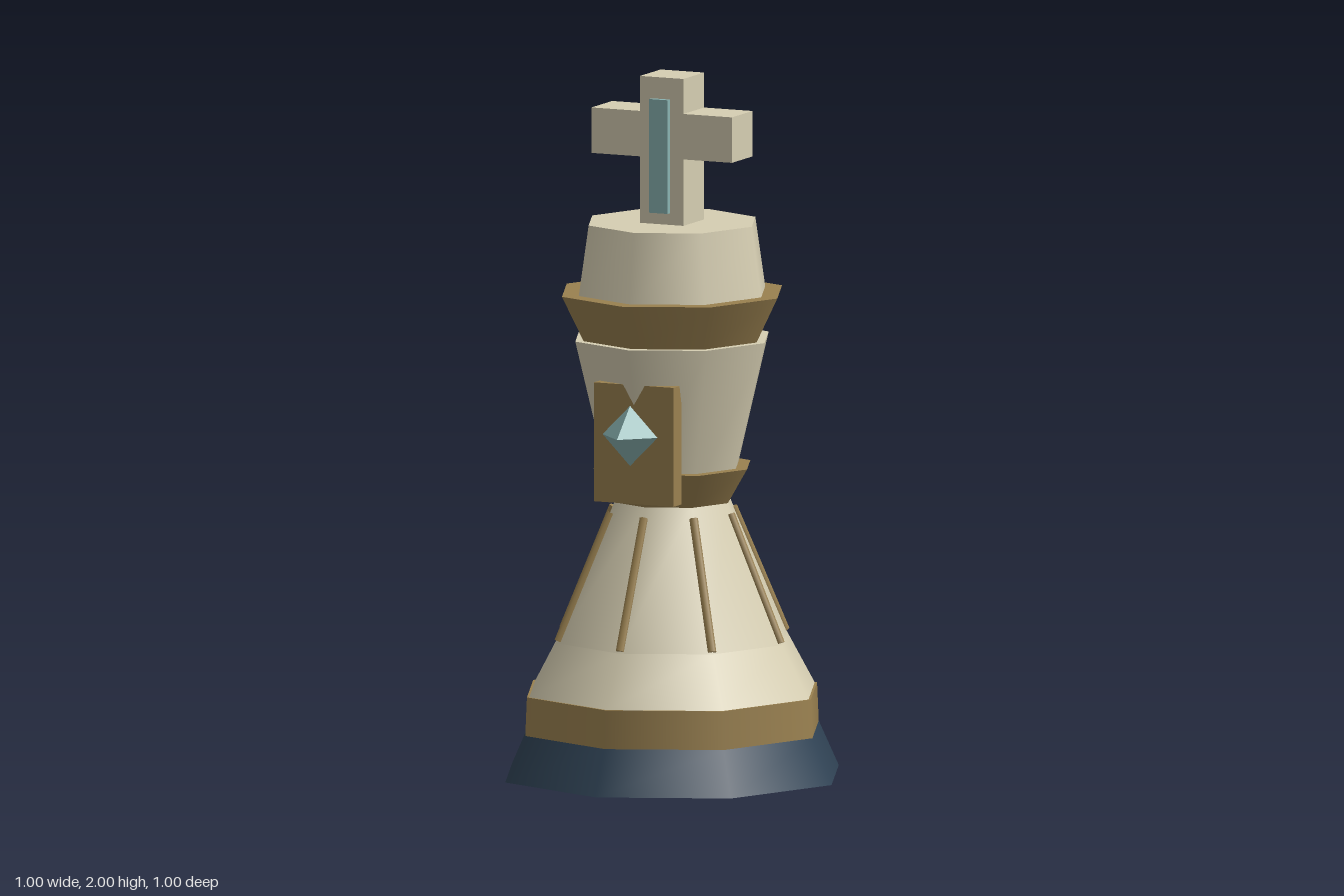
import * as THREE from 'three';

const SIDES = 8;

export function createModel() {
  const group = new THREE.Group();
  const mat = (name, color, flatShading = false) => {
    const m = new THREE.MeshStandardMaterial({ color, flatShading });
    m.name = name;
    return m;
  };
  const cream = mat('cream', 0xd6ceb2);
  const gold = mat('gold', 0x9a8150);
  const navy = mat('navy', 0x2f4254);
  const teal = mat('teal', 0x8ab4b2);

  const add = (name, geometry, material, x = 0, y = 0, z = 0) => {
    const mesh = new THREE.Mesh(geometry, material);
    mesh.name = name;
    mesh.position.set(x, y, z);
    group.add(mesh);
    return mesh;
  };

  // Octagonal tapered sections, stacked from the foot to the head
  const sections = [
    ['base', navy, 0, 0.13, 0.5, 0.44],
    ['baseBand', gold, 0.13, 0.24, 0.44, 0.435],
    ['skirtFlare', cream, 0.24, 0.39, 0.428, 0.345],
    ['skirt', cream, 0.39, 0.79, 0.345, 0.17],
    ['waistCollar', gold, 0.785, 0.885, 0.175, 0.235],
    ['torso', cream, 0.82, 1.25, 0.184, 0.29],
    ['crownBand', gold, 1.25, 1.38, 0.265, 0.33],
    ['head', cream, 1.37, 1.58, 0.281, 0.25],
  ];
  for (const [name, material, y0, y1, r0, r1] of sections) {
    add(name, new THREE.CylinderGeometry(r1, r0, y1 - y0, SIDES), material, 0, (y0 + y1) / 2, 0);
  }

  // Slanted ribs along the corners of the skirt
  const up = new THREE.Vector3(0, 1, 0);
  for (let i = 0; i < SIDES; i++) {
    const a = (i / SIDES) * Math.PI * 2;
    const at = (r, y) => new THREE.Vector3(Math.sin(a) * r, y, Math.cos(a) * r);
    const low = at(0.34, 0.395);
    const high = at(0.183, 0.755);
    const dir = high.clone().sub(low);
    const rib = add('skirtRib', new THREE.CylinderGeometry(0.0125, 0.0125, dir.length(), 6), gold);
    rib.position.copy(low).add(high).multiplyScalar(0.5);
    rib.quaternion.setFromUnitVectors(up, dir.normalize());
  }

  // Chest plate with a faceted gem
  add('chestPlate', new THREE.BoxGeometry(0.25, 0.34, 0.05), gold, 0, 0.975, 0.225);
  add('chestGem', new THREE.OctahedronGeometry(0.086), teal, 0, 1.003, 0.275);

  // Cross on the head, with a thin inlay in front
  add('crossPost', new THREE.BoxGeometry(0.136, 0.42, 0.136), cream, 0, 1.79, 0);
  for (const side of [-1, 1]) {
    add('crossArm', new THREE.BoxGeometry(0.152, 0.13, 0.136), cream, side * 0.144, 1.835, 0);
  }
  add('crossInlay', new THREE.BoxGeometry(0.058, 0.325, 0.016), teal, 0, 1.777, 0.082);

  return group;
}
